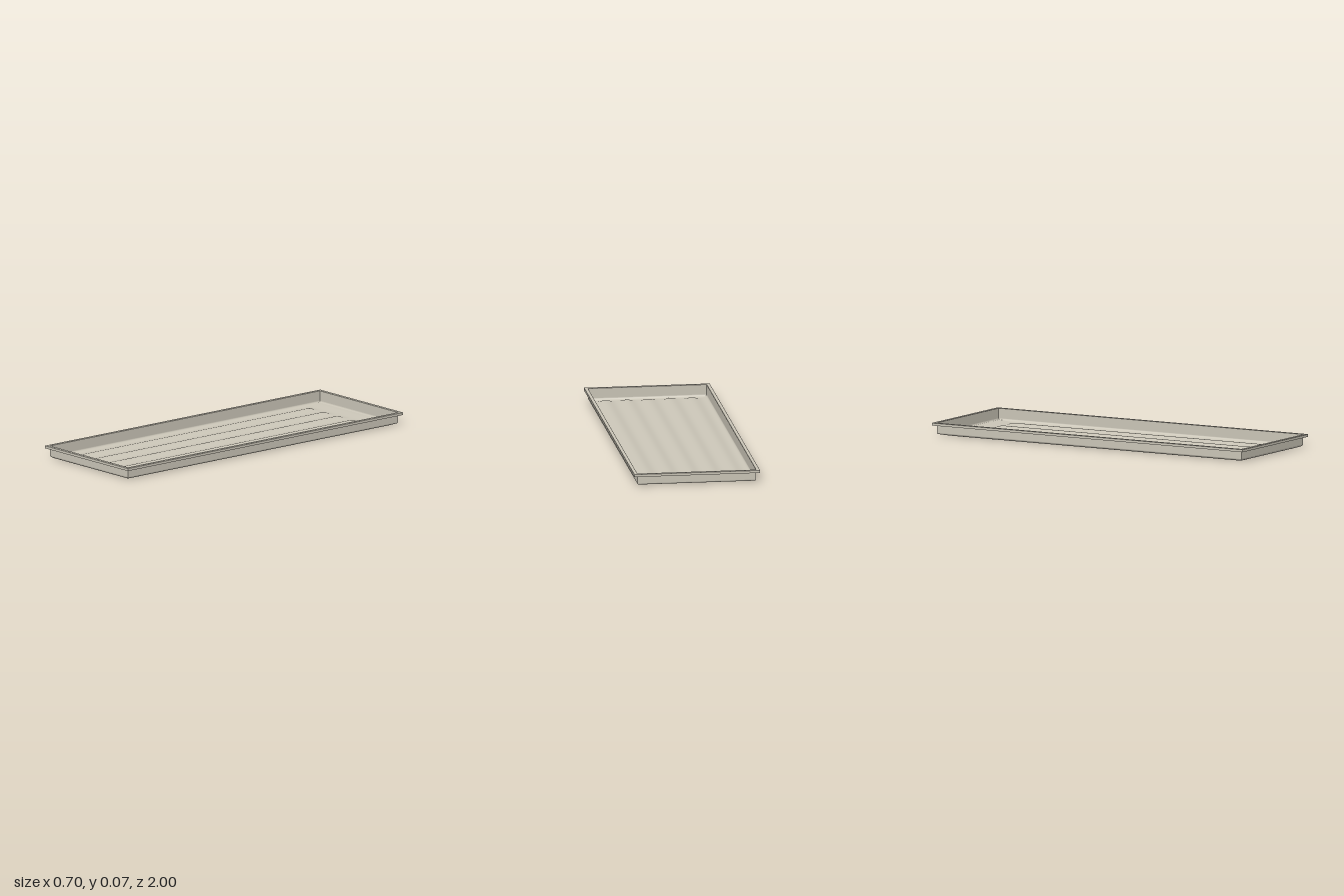
import * as THREE from 'three';

const HX = 0.33, HZ = 0.98; // half size of the pan inside the rim

// Rectangular band swept from profile points [offset from the pan wall, y]
function sweepFrame(profile) {
  const pos = [];
  const corners = ([o, y]) => [
    [HX + o, y, HZ + o], [HX + o, y, -HZ - o], [-HX - o, y, -HZ - o], [-HX - o, y, HZ + o],
  ];
  for (let i = 0; i < profile.length - 1; i++) {
    const a = corners(profile[i]), b = corners(profile[i + 1]);
    for (let k = 0; k < 4; k++) {
      const n = (k + 1) % 4;
      pos.push(...a[k], ...a[n], ...b[n], ...a[k], ...b[n], ...b[k]);
    }
  }
  const g = new THREE.BufferGeometry();
  g.setAttribute('position', new THREE.Float32BufferAttribute(pos, 3));
  g.computeVertexNormals();
  return g;
}

const smooth = THREE.MathUtils.smoothstep;

// Rounded rise towards an edge; d is the distance from that edge
function fillet(d, width, height) {
  const t = Math.max(0, 1 - d / width);
  return height * (1 - Math.sqrt(1 - t * t));
}

function floorHeight(x, z) {
  const side = fillet(HX - Math.abs(x), 0.03, 0.014);
  const front = fillet(HZ - z, 0.022, 0.014);
  const back = Math.max(fillet(HZ + z, 0.025, 0.014), 0.006 * smooth(-z, 0.86, 0.98));
  // Five lengthwise ribs that fade out before each end
  const rib = Math.abs(x) < 0.3 ? 0.5 + 0.5 * Math.cos((2 * Math.PI * x) / 0.12) : 0;
  const mask = smooth(z, -0.875, -0.83) * (1 - smooth(z, 0.94, 0.965));
  return Math.max(side, front, back) + 0.009 * rib * mask;
}

// Ribbed floor, with grid lines gathered towards the rounded edges
function ribbedFloor() {
  const g = new THREE.PlaneGeometry(2, 2, 110, 100).rotateX(-Math.PI / 2);
  const p = g.attributes.position;
  for (let i = 0; i < p.count; i++) {
    const x = HX * Math.sin((p.getX(i) * Math.PI) / 2);
    const z = HZ * Math.sin((p.getZ(i) * Math.PI) / 2);
    p.setXYZ(i, x, floorHeight(x, z), z);
  }
  g.computeVertexNormals();
  return g;
}

export function createModel() {
  const group = new THREE.Group();
  group.name = 'tray';
  const beige = new THREE.MeshStandardMaterial({ color: 0xcac5b7, side: THREE.DoubleSide });
  beige.name = 'warm beige';

  const add = (name, geometry) => {
    const mesh = new THREE.Mesh(geometry, beige);
    mesh.name = name;
    group.add(mesh);
  };

  add('floor', ribbedFloor());
  add('walls', sweepFrame([[0, 0.014], [0, 0.069]]));
  // Flat flange with a turned-down outer lip
  add('rim', sweepFrame([[0.02, 0.055], [0.02, 0.069], [0.019, 0.07], [0.001, 0.07], [0, 0.069]]));
  // Inner face of the turned-down lip and its lower edge
  add('lipInside', sweepFrame([[0.017, 0.067], [0.017, 0.055], [0.02, 0.055]]));
  return group;
}
